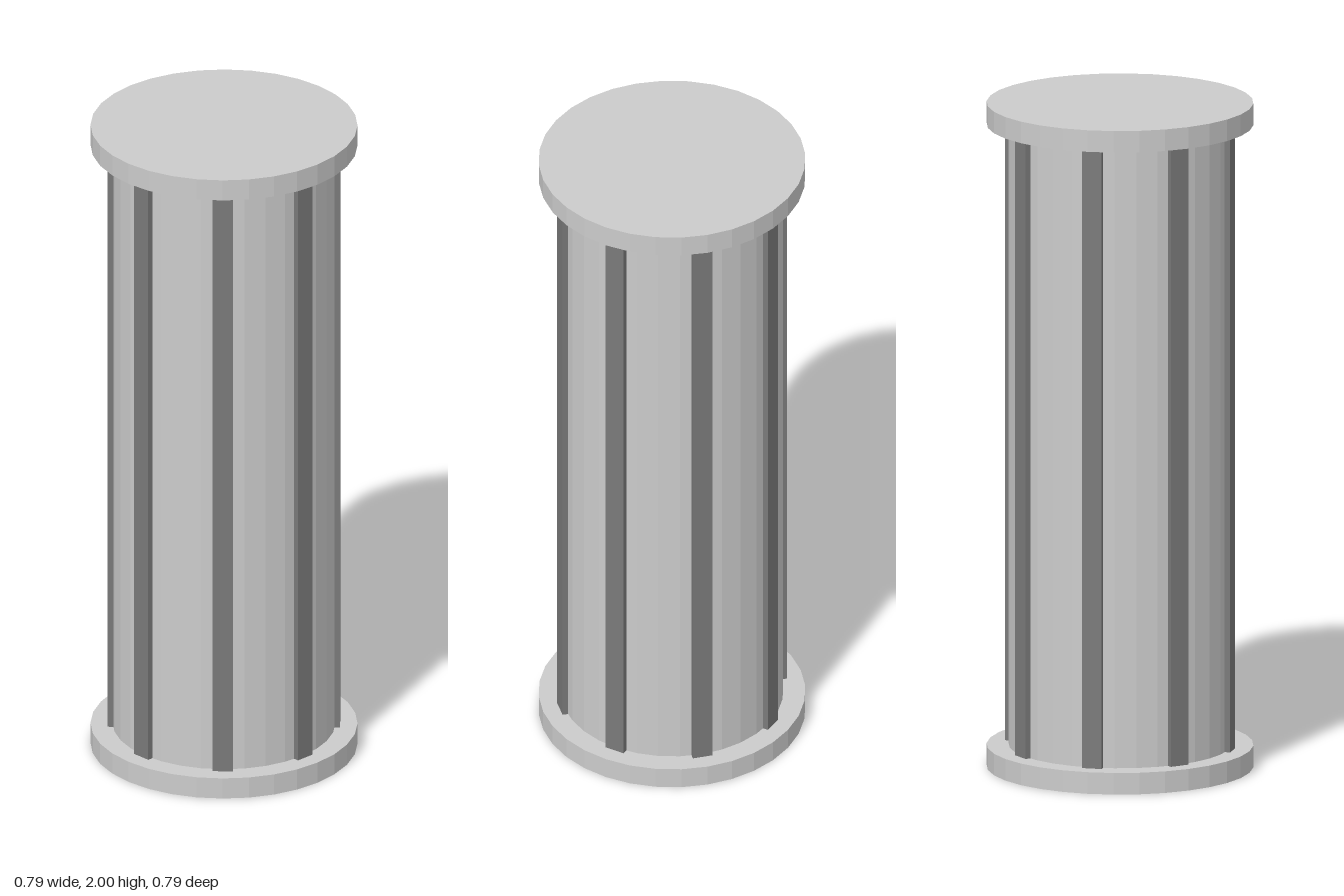
import * as THREE from 'three';

export function createModel() {
  const model = new THREE.Group();
  const pale = new THREE.MeshStandardMaterial({ color: 0xcccccc, flatShading: true });
  const dark = new THREE.MeshStandardMaterial({ color: 0x7a7a7a, flatShading: true });
  const height = 2, capHeight = 0.065, capRadius = 0.393, shaftRadius = 0.328;
  const shaftHeight = height - 2 * capHeight;

  const add = (name, geometry, material, y) => {
    const mesh = new THREE.Mesh(geometry, material);
    mesh.name = name;
    mesh.position.y = y;
    model.add(mesh);
    return mesh;
  };

  // Round end plates and the shaft between them
  const cap = new THREE.CylinderGeometry(capRadius, capRadius, capHeight, 32);
  add('basePlate', cap, pale, capHeight / 2);
  add('topPlate', cap, pale, height - capHeight / 2);
  add('shaft', new THREE.CylinderGeometry(shaftRadius, shaftRadius, shaftHeight, 32), pale, height / 2);

  // Eight dark strips standing slightly proud of the shaft
  const depth = 0.04, outer = 0.342;
  const strip = new THREE.BoxGeometry(0.06, shaftHeight, depth);
  strip.translate(0, 0, outer - depth / 2);
  for (let i = 0; i < 8; i++) {
    add('strip' + (i + 1), strip, dark, height / 2).rotation.y = (i * Math.PI) / 4;
  }
  return model;
}
